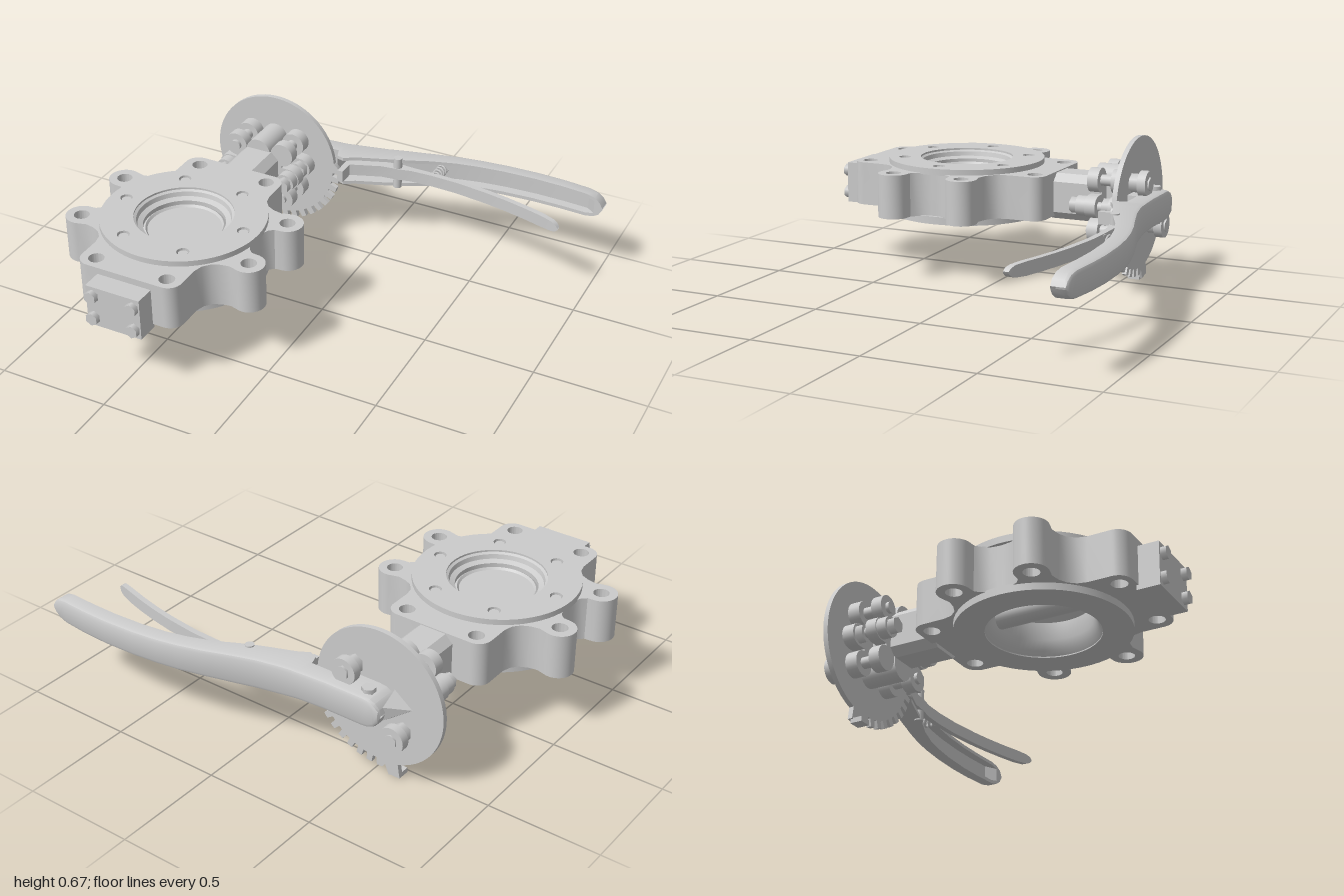
import * as THREE from 'three';
import { toCreasedNormals } from 'three/addons/utils/BufferGeometryUtils.js';
import { ConvexGeometry } from 'three/addons/geometries/ConvexGeometry.js';

const grey = new THREE.MeshStandardMaterial({ color: 0xcccccc, side: THREE.DoubleSide });
const VX = -0.52, VZ = 0.28; // valve bore centre
const SY = 0.37;             // shaft height

export function createModel() {
  const root = new THREE.Group();

  const add = (name, geo, x = 0, y = 0, z = 0, parent = root) => {
    const m = new THREE.Mesh(geo, grey);
    m.name = name;
    m.position.set(x, y, z);
    parent.add(m);
    return m;
  };
  const box = (name, w, h, d, x, y, z) => add(name, new THREE.BoxGeometry(w, h, d), x, y, z);
  // cylinder along z between z0 and z1
  const cylZ = (name, r, z0, z1, x, y, seg = 32) =>
    add(name, new THREE.CylinderGeometry(r, r, Math.abs(z1 - z0), seg).rotateX(Math.PI / 2), x, y, (z0 + z1) / 2);
  const cylY = (name, r, y0, y1, x, z, seg = 32) =>
    add(name, new THREE.CylinderGeometry(r, r, y1 - y0, seg), x, (y0 + y1) / 2, z);
  const circle = (x, y, r) => new THREE.Path().absarc(x, y, r, 0, Math.PI * 2, true);
  const extrude = (shape, depth) =>
    toCreasedNormals(new THREE.ExtrudeGeometry(shape, { depth, bevelEnabled: false, curveSegments: 32 }), 0.6);
  // plan shape extruded upward
  const slab = (shape, h) => extrude(shape, h).rotateX(-Math.PI / 2);
  const signs = [[1, 1], [-1, 1], [-1, -1], [1, -1]];

  // ---- valve body: one quadrant of the lugged outline, mirrored four ways
  const arc = (cx, cy, r, a0, a1, n = 16) => Array.from({ length: n + 1 }, (_, i) => {
    const a = THREE.MathUtils.degToRad(a0 + (a1 - a0) * i / n);
    return [cx + r * Math.cos(a), cy + r * Math.sin(a)];
  });
  const quad = [[0.345, 0.01], [0.35, 0.045], [0.365, 0.08], [0.385, 0.098],
    ...arc(0.41, 0.17, 0.07, -80, 102),
    [0.35, 0.226], [0.31, 0.233], [0.275, 0.25], [0.25, 0.28], [0.24, 0.32],
    ...arc(0.18, 0.42, 0.06, 0, 90, 8)];
  const outline = signs.flatMap(([sx, sy]) => {
    const q = quad.map(([x, y]) => new THREE.Vector2(x * sx, y * sy));
    return sx * sy < 0 ? q.reverse() : q;
  });
  const bodyShape = new THREE.Shape(outline);
  bodyShape.holes.push(circle(0, 0, 0.23));
  signs.forEach(([sx, sy]) => bodyShape.holes.push(
    circle(0.41 * sx, 0.17 * sy, 0.034), circle(0.17 * sx, 0.42 * sy, 0.034)));
  add('luggedBody', slab(bodyShape, 0.2), VX, 0.295, VZ);

  // upper flange with countersunk screws, lower flange plain
  const ringShape = (inner) => {
    const s = new THREE.Shape().absarc(0, 0, 0.362, 0, Math.PI * 2);
    s.holes.push(circle(0, 0, inner));
    return s;
  };
  const upper = ringShape(0.216);
  for (let i = 0; i < 6; i++) {
    const a = i * Math.PI / 3, x = 0.29 * Math.cos(a), z = 0.29 * Math.sin(a);
    upper.holes.push(circle(x, z, 0.027));
    cylY('flangeScrew', 0.021, 0.48, 0.513, VX + x, VZ + z, 20);
  }
  add('upperFlange', slab(upper, 0.03), VX, 0.49, VZ);
  add('lowerFlange', slab(ringShape(0.236), 0.035), VX, 0.265, VZ);

  // bore lining and seat
  const lathe = (pts) => toCreasedNormals(
    new THREE.LatheGeometry(pts.map(p => new THREE.Vector2(...p)), 64), 0.5);
  add('seatRing', lathe([[0.236, 0.27], [0.222, 0.29], [0.205, 0.33], [0.205, 0.41], [0.178, 0.435],
    [0.178, 0.475], [0.2, 0.485], [0.205, 0.505], [0.217, 0.512], [0.232, 0.49], [0.236, 0.27]]), VX, 0, VZ);

  // closed disc with its stem
  add('valveDisc', lathe([[0, 0.42], [0.15, 0.42], [0.178, 0.435], [0.178, 0.455], [0.168, 0.462],
    [0.16, 0.452], [0, 0.452]]), VX, 0, VZ);
  cylZ('stem', 0.05, VZ - 0.22, VZ + 0.22, VX, 0.38);
  box('discHub', 0.11, 0.05, 0.26, VX, 0.41, VZ);

  // end cover with four bolts
  box('endCover', 0.256, 0.19, 0.1, VX, 0.37, 0.8);
  for (const [sx, sy] of signs)
    cylZ('coverBolt', 0.029, 0.84, 0.875, VX + 0.096 * sx, SY + 0.053 * sy, 6);

  // ---- neck with chamfered corners
  const neck = new THREE.Shape([[0.095, -0.07], [0.095, 0.07], [0.06, 0.105], [-0.06, 0.105],
    [-0.095, 0.07], [-0.095, -0.07], [-0.06, -0.105], [0.06, -0.105]].map(p => new THREE.Vector2(...p)));
  add('neck', extrude(neck, 0.21), VX, 0.385, -0.39);

  // ---- mounting flanges joined by a central column
  const MX = -0.525;
  for (const [z0, z1] of [[-0.44, -0.39], [-0.555, -0.5]]) {
    const zm = (z0 + z1) / 2, d = z1 - z0;
    box('mountFlange', 0.31, 0.1, d, MX, SY, zm);
    box('mountFlange', 0.236, 0.23, d, MX, SY, zm);
    for (const s of [-1, 1]) cylZ('mountEar', 0.05, z0, z1, MX + 0.155 * s, SY);
    for (const [sx, sy] of signs) cylZ('mountLobe', 0.055, z0, z1, MX + 0.118 * sx, SY + 0.115 * sy);
  }
  box('column', 0.12, 0.23, 0.17, MX, SY, -0.47);
  for (const s of [-1, 1]) {
    cylZ('columnEnd', 0.06, -0.555, -0.385, MX, SY + 0.11 * s);
    const x = MX + 0.155 * s;
    cylZ('mountBolt', 0.022, -0.57, -0.34, x, SY, 20);
    cylZ('mountBoltWasher', 0.045, -0.39, -0.345, x, SY);
    cylZ('mountBoltHead', 0.036, -0.345, -0.312, x, SY, 6);
    cylZ('mountNut', 0.042, -0.5, -0.465, x, SY, 6);
    // plate bolts on opposite corners
    const bx = MX + 0.116 * s, by = SY + 0.115 * s;
    cylZ('plateBolt', 0.025, -0.63, -0.42, bx, by, 20);
    cylZ('plateNut', 0.042, -0.625, -0.578, bx, by, 6);
    cylZ('plateBoltCap', 0.058, -0.66, -0.622, bx, by);
    cylZ('plateBoltCore', 0.03, -0.668, -0.655, bx, by, 6);
    // bolt ends on the other two corners
    cylZ('cornerBolt', 0.025, -0.56, -0.375, bx - 0.232 * s, by, 20);
  }

  // ---- notched plate
  const polar = (deg, r) => new THREE.Vector2(
    r * Math.cos(THREE.MathUtils.degToRad(deg)), r * Math.sin(THREE.MathUtils.degToRad(deg)));
  const rim = [];
  for (let a = 6; a <= 250; a += 4) rim.push(polar(a, 0.305));
  rim.push(polar(252, 0.305), polar(253.5, 0.36), polar(262, 0.36), polar(264, 0.315));
  for (let i = 0; i < 10; i++) {
    const a = 267 + i * 9;
    rim.push(polar(a, 0.332), polar(a + 4.4, 0.332), polar(a + 5, 0.298), polar(a + 8.4, 0.298));
  }
  rim.push(polar(357, 0.332), polar(362, 0.325));
  add('notchedPlate', extrude(new THREE.Shape(rim), 0.022), MX, SY, -0.578);
  box('stopTab', 0.055, 0.022, 0.055, -0.594, 0.017, -0.54);

  // ---- lever: lofted channel, stations are [x, back z, front z, half height]
  const loft = (stations, ring) => {
    const pos = [], idx = [], n = ring(stations[0]).length;
    stations.forEach((s, i) => {
      ring(s).forEach(([y, z]) => pos.push(s[0], y, z));
      if (!i) return;
      for (let j = 0; j < n; j++) {
        const a = (i - 1) * n + j, b = (i - 1) * n + (j + 1) % n;
        idx.push(a, b, a + n, b, b + n, a + n);
      }
    });
    const g = new THREE.BufferGeometry();
    g.setAttribute('position', new THREE.Float32BufferAttribute(pos, 3));
    g.setIndex(idx);
    return toCreasedNormals(g, 0.5);
  };
  const channel = ([x, zb, zf, h]) => {
    const t = Math.min(0.016, h / 2), c = Math.min(0.018, h / 2);
    const zi = x > -0.2 && x < 0.95 ? zb + 0.025 : zf;
    return [[-h + c, zb], [h - c, zb], [h - c * 0.3, zb + c * 0.3], [h, zb + c], [h, zf], [h - t, zf], [h - t, zi],
      [t - h, zi], [t - h, zf], [-h, zf], [-h, zb + c], [-h + c * 0.3, zb + c * 0.3]];
  };
  add('lever', loft([[-0.612, -0.69, -0.575, 0.004], [-0.605, -0.7, -0.575, 0.03], [-0.585, -0.705, -0.575, 0.052],
    [-0.56, -0.705, -0.575, 0.064], [-0.53, -0.705, -0.575, 0.068], [-0.36, -0.705, -0.575, 0.068],
    [-0.35, -0.705, -0.625, 0.068], [-0.23, -0.712, -0.625, 0.068], [-0.215, -0.714, -0.58, 0.068],
    [-0.18, -0.718, -0.568, 0.07], [-0.13, -0.727, -0.598, 0.071], [-0.03, -0.748, -0.635, 0.071],
    [0.06, -0.775, -0.67, 0.07], [0.12, -0.793, -0.697, 0.068], [0.19, -0.815, -0.73, 0.066],
    [0.3, -0.843, -0.767, 0.064], [0.4, -0.861, -0.789, 0.062], [0.52, -0.874, -0.804, 0.061],
    [0.67, -0.88, -0.811, 0.06], [0.8, -0.876, -0.808, 0.059], [0.92, -0.865, -0.799, 0.057],
    [0.96, -0.86, -0.795, 0.048], [0.985, -0.856, -0.791, 0.03], [1, -0.85, -0.79, 0.004]], channel), 0, SY, 0);

  // pointer at the hub
  const V = (x, y, z) => new THREE.Vector3(x, y, z);
  add('pointer', new ConvexGeometry([V(-0.685, 0, -0.578), V(-0.6, 0.065, -0.578), V(-0.6, -0.065, -0.578),
    V(-0.605, 0.03, -0.665), V(-0.605, -0.03, -0.665)]), 0, SY, 0);

  // clamp bolt across the hub, trigger pivot pin
  cylY('clampBolt', 0.03, SY - 0.085, SY + 0.085, MX, -0.645, 6);
  cylY('pivotPin', 0.02, SY - 0.076, SY + 0.076, 0.05, -0.675, 20);

  // trigger with its pawl
  const bar = ([, zb, zf, h]) => [[-h, zb], [h, zb], [h, zf], [-h, zf]];
  add('trigger', loft([[-0.18, -0.635, -0.585, 0.028], [-0.02, -0.69, -0.645, 0.028], [0.06, -0.702, -0.655, 0.028],
    [0.12, -0.698, -0.668, 0.028], [0.22, -0.698, -0.672, 0.028], [0.35, -0.692, -0.666, 0.028],
    [0.5, -0.672, -0.646, 0.028], [0.6, -0.653, -0.627, 0.028], [0.7, -0.629, -0.603, 0.028],
    [0.79, -0.603, -0.577, 0.028], [0.845, -0.584, -0.559, 0.024], [0.865, -0.576, -0.551, 0.016],
    [0.877, -0.57, -0.547, 0.003]], bar), 0, SY, 0);
  box('pawl', 0.028, 0.056, 0.11, -0.172, SY, -0.575);

  // return spring
  const coil = Array.from({ length: 61 }, (_, i) => {
    const a = i / 60 * Math.PI * 10;
    return V(0.225 + 0.022 * Math.cos(a), SY + 0.022 * Math.sin(a), -0.69 - 0.11 * i / 60);
  });
  add('spring', new THREE.TubeGeometry(new THREE.CatmullRomCurve3(coil), 160, 0.005, 6));

  return root;
}
